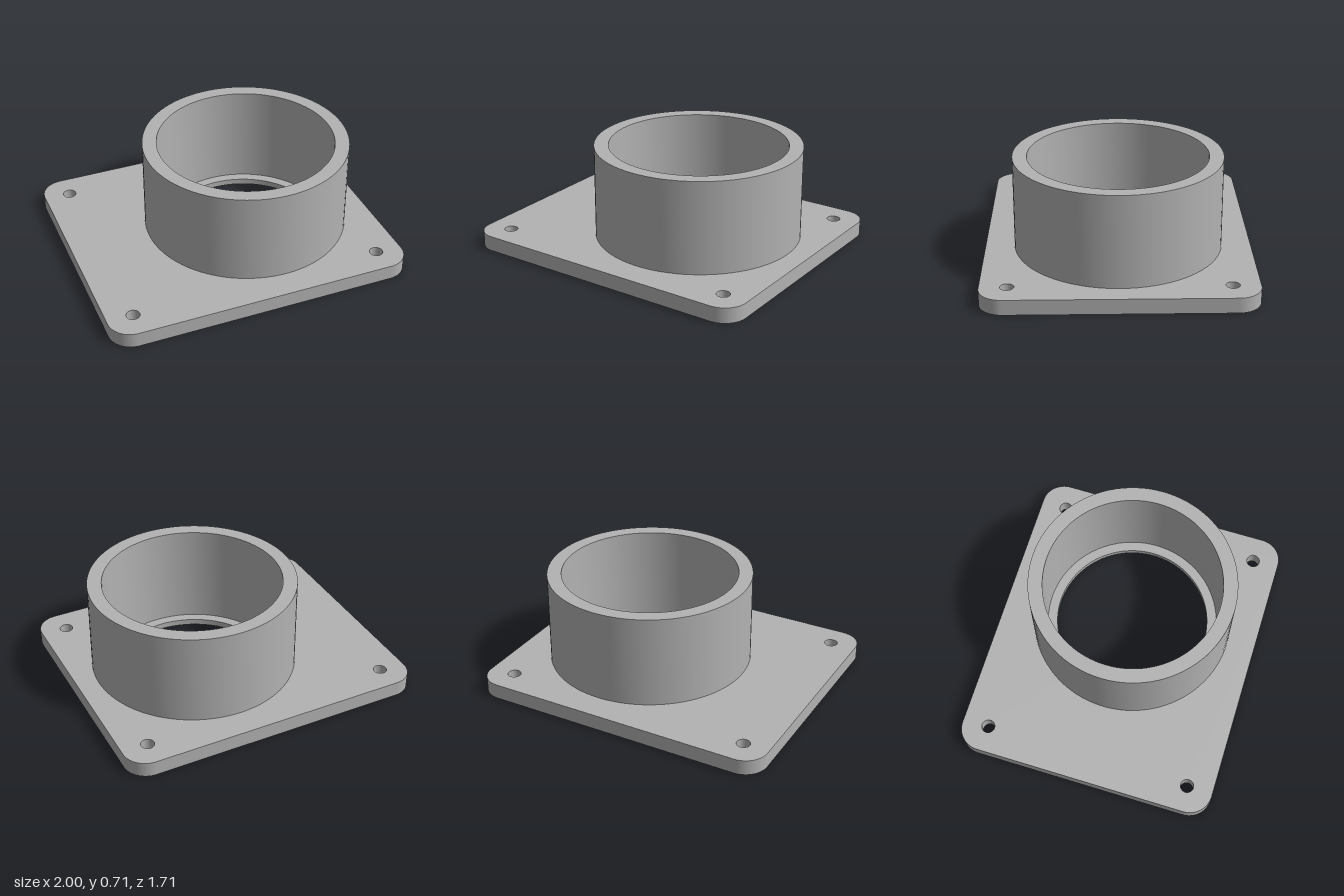
import * as THREE from 'three';
import { toCreasedNormals } from 'three/addons/utils/BufferGeometryUtils.js';

const SEGMENTS = 96;
const HALF_X = 1, HALF_Z = 0.855, CORNER = 0.15;
const PLATE_H = 0.1, TOP = 0.707, LEDGE = 0.04;
const COLLAR_X = 0.193, OUTER = 0.67, INNER = 0.577, BORE = 0.513;

function circlePath(x, y, r) {
  return new THREE.Path().absarc(x, y, r, 0, Math.PI * 2, true);
}

export function createModel() {
  const group = new THREE.Group();
  const grey = new THREE.MeshStandardMaterial({ color: 0xb2b2b2 });
  grey.name = 'grey';

  // Base plate: rounded rectangle with four screw holes and the collar opening
  const shape = new THREE.Shape();
  const cx = HALF_X - CORNER, cz = HALF_Z - CORNER, q = Math.PI / 2;
  [[cx, cz], [-cx, cz], [-cx, -cz], [cx, -cz]].forEach(([x, y], i) =>
    shape.absarc(x, y, CORNER, i * q, (i + 1) * q, false));
  shape.closePath();
  for (const sx of [-1, 1])
    for (const sz of [-1, 1])
      shape.holes.push(circlePath(sx * 0.83, sz * 0.683, 0.043));
  shape.holes.push(circlePath(COLLAR_X, 0, OUTER));

  const plateGeo = new THREE.ExtrudeGeometry(shape, {
    depth: PLATE_H, bevelEnabled: false, curveSegments: SEGMENTS,
  });
  plateGeo.rotateX(-Math.PI / 2);
  const plate = new THREE.Mesh(toCreasedNormals(plateGeo, 0.6), grey);
  plate.name = 'basePlate';
  group.add(plate);

  // Collar: tube with a narrower bore at the bottom, leaving an inner ledge
  const profile = [
    [BORE, 0], [OUTER, 0], [OUTER, TOP], [INNER, TOP],
    [INNER, LEDGE], [BORE, LEDGE], [BORE, 0],
  ].map(([r, y]) => new THREE.Vector2(r, y));
  const collarGeo = new THREE.LatheGeometry(profile, SEGMENTS);
  const collar = new THREE.Mesh(toCreasedNormals(collarGeo, 0.6), grey);
  collar.name = 'collar';
  collar.position.x = COLLAR_X;
  group.add(collar);

  return group;
}
